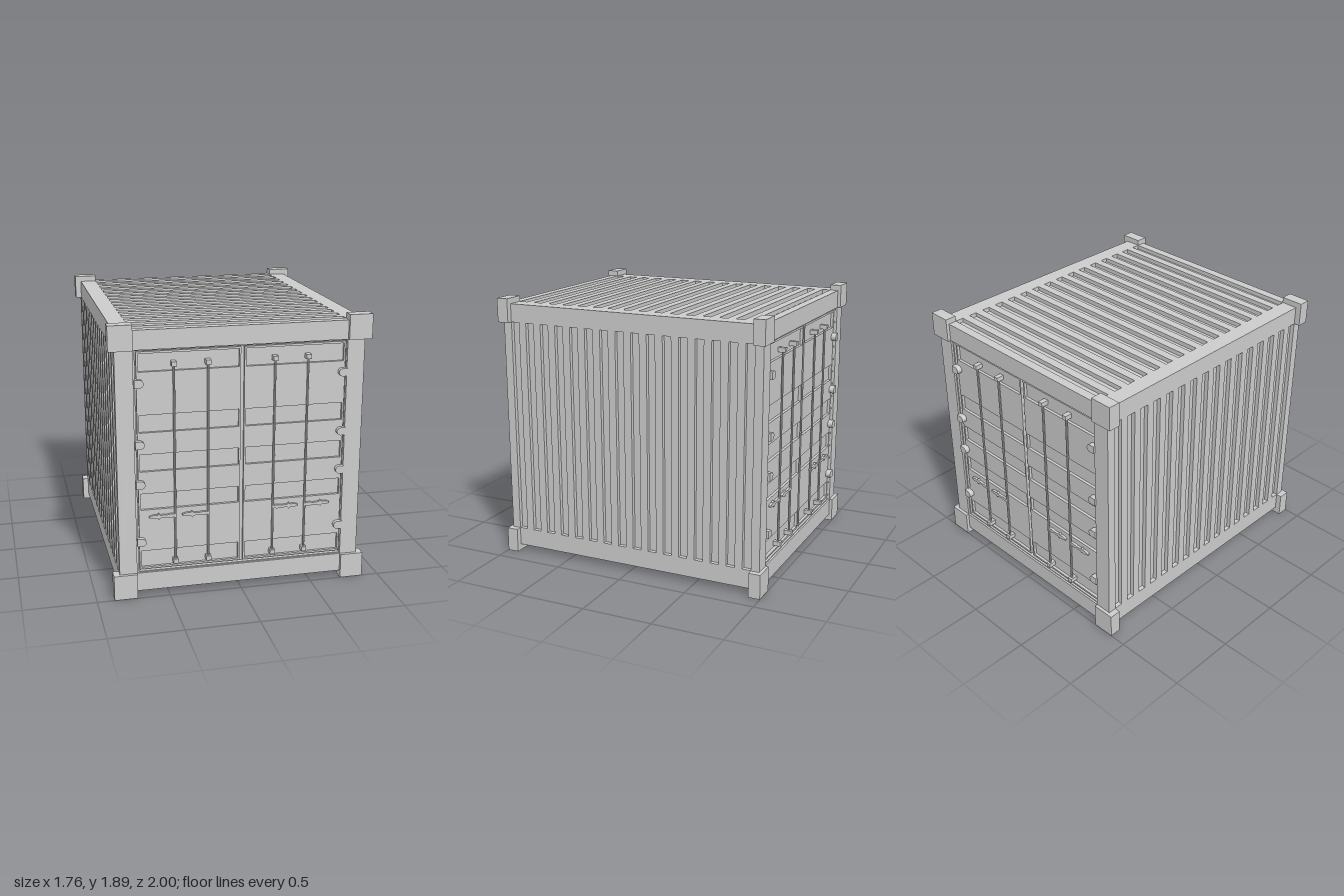
import * as THREE from 'three';

const material = new THREE.MeshStandardMaterial({ color: 0xcccccc, flatShading: true });

function mesh(name, geometry, parent) {
  const m = new THREE.Mesh(geometry, material);
  m.name = name;
  parent.add(m);
  return m;
}

function box(name, parent, x0, x1, y0, y1, z0, z1) {
  const g = new THREE.BoxGeometry(x1 - x0, y1 - y0, z1 - z0);
  g.translate((x0 + x1) / 2, (y0 + y1) / 2, (z0 + z1) / 2);
  return mesh(name, g, parent);
}

const corners = ([x0, x1, y0, y1]) =>
  [[x0, y0], [x1, y0], [x1, y1], [x0, y1]].map(([x, y]) => new THREE.Vector2(x, y));

// Flat plate with rectangular openings, thickness along +z
function plate(outer, holes, depth) {
  const shape = new THREE.Shape(corners(outer));
  for (const h of holes) shape.holes.push(new THREE.Path(corners(h)));
  return new THREE.ExtrudeGeometry(shape, { depth, bevelEnabled: false });
}

// Main dimensions
const W = 0.84, D = 0.977, BOTTOM = 0.045, TOP = 1.85;
const SKIN = 0.03, CORE_Z = 0.935, DOOR_Z = 0.955;
const GROOVES = Array.from({ length: 16 }, (_, i) => (i - 7.5) * 0.118);

// Hinge: a tab with a round inner end, lying over the door edge
function hinge(parent, side, y, front) {
  const r = 0.027;
  const s = new THREE.Shape();
  s.moveTo(0.726, -r);
  s.lineTo(0.726, r);
  s.lineTo(0.692, r);
  s.absarc(0.692, 0, r, Math.PI / 2, Math.PI * 1.5, false);
  s.closePath();
  const g = new THREE.ExtrudeGeometry(s, { depth: front - CORE_Z, bevelEnabled: false, curveSegments: 8 });
  if (side < 0) g.rotateZ(Math.PI);
  g.translate(side < 0 ? 0.01 : 0, y, CORE_Z);
  mesh('hinge', g, parent);
}

// Handle: thin lever with a small pointed catch, reaching outward from its rod
function handle(parent, x, side) {
  const upper = [[0, 0.009], [0.035, 0.013], [0.06, 0.008], [0.104, 0.011], [0.113, 0.024],
    [0.122, 0.011], [0.145, 0.013], [0.178, 0.005]];
  const lower = upper.map(([u, v]) => [u, -v]).reverse();
  const s = new THREE.Shape([...upper, ...lower].map(([u, v]) => new THREE.Vector2(u * side, v)));
  const g = new THREE.ExtrudeGeometry(s, { depth: 0.018, bevelEnabled: false });
  g.translate(x, 0.57, DOOR_Z);
  mesh('handle', g, parent);
}

// One end of the container: frame, two doors and their fittings
function makeEnd(name, shift) {
  const end = new THREE.Group();
  end.name = name;

  const frame = plate([-W + SKIN, W - SKIN, BOTTOM, TOP - SKIN], [[-0.72, 0.72, 0.175, 1.72]], D - CORE_Z);
  mesh('endFrame', frame.translate(0, 0, CORE_Z), end);
  // Thin gasket rim inside the opening
  const rim = plate([-0.72, 0.72, 0.175, 1.72], [[-0.708, 0.718, 0.182, 1.712]], 0.028);
  mesh('doorRim', rim.translate(0, 0, CORE_Z), end);

  const doors = new THREE.Group();
  doors.name = 'doors';
  end.add(doors);
  const rows = [[0.205, 0.325], [0.62, 0.735], [0.89, 1.01], [1.16, 1.28], [1.57, 1.69]];
  for (const x0 of [-0.698, 0.02]) {
    const x1 = x0 + 0.694;
    const recesses = rows.map(([a, b]) => [x0 + 0.013, x1 - 0.011, a, b]);
    const leaf = plate([x0, x1, 0.192, 1.704], recesses, DOOR_Z - CORE_Z);
    mesh('door', leaf.translate(0, 0, CORE_Z), doors);
  }

  // Locking rods with end brackets and handles
  const fittings = new THREE.Group();
  fittings.name = 'doorFittings';
  end.add(fittings);
  for (const side of [-1, 1]) {
    for (const rx of [0.226, 0.453]) {
      const x = rx * side;
      const rod = new THREE.CylinderGeometry(0.008, 0.008, 1.38, 8);
      mesh('lockingRod', rod.translate(x, 0.925, 0.964 + shift / 2), fittings);
      for (const y of [0.238, 1.617])
        box('rodBracket', fittings, x - 0.017, x + 0.017, y - 0.016, y + 0.016, CORE_Z, 0.982 + shift);
      handle(fittings, x, side);
    }
    for (const y of [0.397, 0.807, 1.083, 1.497]) hinge(fittings, side, y, 0.985 + shift);
  }
  return end;
}

export function createModel() {
  const model = new THREE.Group();
  model.name = 'shippingContainer';

  // Solid core forms the floor of every groove
  box('core', model, -W + SKIN, W - SKIN, BOTTOM, TOP - SKIN, -CORE_Z, CORE_Z);

  // Side walls with upright grooves
  for (const side of [-1, 1]) {
    const slots = GROOVES.map(z => [z - 0.031, z + 0.031, 0.177, 1.72]);
    const wall = plate([-D, D, BOTTOM, TOP - SKIN], slots, SKIN);
    wall.rotateY(Math.PI / 2).translate(side > 0 ? W - SKIN : -W, 0, 0);
    mesh(side > 0 ? 'leftWall' : 'rightWall', wall, model);
  }

  // Roof with crosswise grooves
  const roof = plate([-W, W, -D, D], GROOVES.map(z => [-0.724, 0.724, z - 0.03, z + 0.03]), SKIN);
  roof.rotateX(-Math.PI / 2).translate(0, TOP - SKIN, 0);
  mesh('roof', roof, model);

  // Matching doors at both ends
  model.add(makeEnd('frontEnd', 0));
  const back = makeEnd('backEnd', 0.007);
  back.rotation.y = Math.PI;
  model.add(back);

  // Corner blocks
  for (const sx of [-1, 1])
    for (const sz of [-1, 1])
      for (const y of [0.0875, 1.805]) {
        const block = new THREE.BoxGeometry(0.16, y < 1 ? 0.175 : 0.17, 0.083);
        mesh('cornerBlock', block.translate(sx * 0.802, y, sz * 0.9585), model);
      }

  return model;
}
